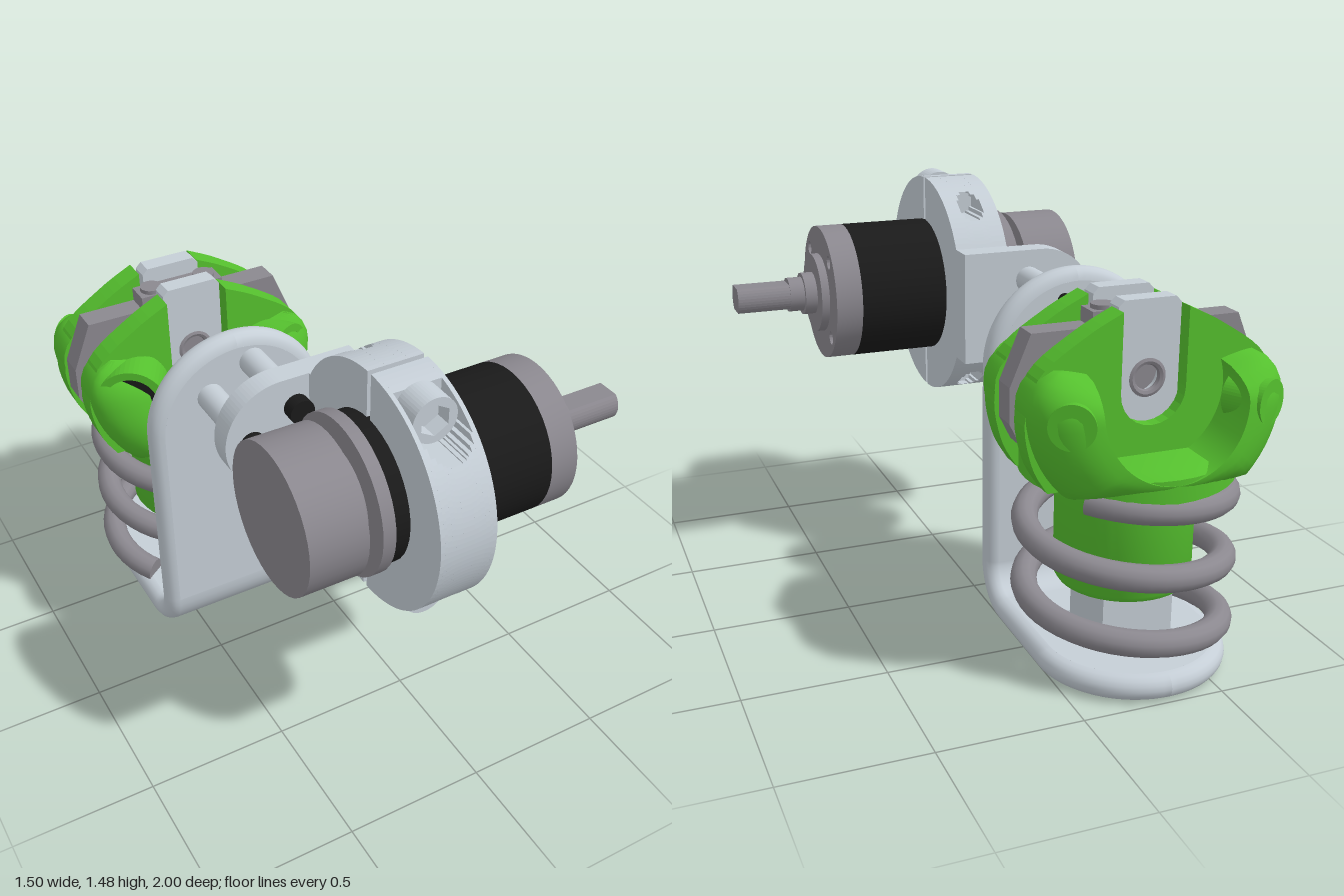
import * as THREE from 'three';
import { toCreasedNormals } from 'three/addons/utils/BufferGeometryUtils.js';

const { PI, sin, cos, sqrt, min, max, abs } = Math;
const mat = (color) => new THREE.MeshStandardMaterial({ color });
const V = (x, y) => new THREE.Vector2(x, y);
const CX = -0.313, CZ = -0.612; // axis of the spring and joint
const MY = 1.065, MZ = 0.58;    // axis of the motor

export function createModel() {
  const root = new THREE.Group();
  const light = mat(0xc5ced6), grey = mat(0x8b888f), black = mat(0x1a1a1a), green = mat(0x55c02e);

  const add = (name, geo, m, x = 0, y = 0, z = 0, parent = root) => {
    const mesh = new THREE.Mesh(geo, m);
    mesh.name = name;
    mesh.position.set(x, y, z);
    parent.add(mesh);
    return mesh;
  };
  const group = (name) => {
    const g = new THREE.Group();
    g.name = name;
    root.add(g);
    return g;
  };
  const extrude = (shape, depth) => new THREE.ExtrudeGeometry(shape, { depth, bevelEnabled: false, curveSegments: 24 });
  const circlePath = (x, y, r) => new THREE.Path().absarc(x, y, r, 0, 2 * PI, true);
  const rod = (r, len, seg = 24) => new THREE.CylinderGeometry(r, r, len, seg).rotateX(PI / 2);
  const arc = (r, a, b, n = 16) => Array.from({ length: n + 1 }, (_, i) => {
    const t = a + (b - a) * i / n;
    return V(r * cos(t), r * sin(t));
  });
  // Surface through closed rings; skip(i, j) leaves quads out
  const loft = (rings, skip = () => false) => {
    const n = rings[0].length, index = [];
    for (let i = 0; i < rings.length - 1; i++) for (let j = 0; j < n; j++) {
      if (skip(i, j)) continue;
      const a = i * n + j, b = i * n + (j + 1) % n;
      index.push(a, b, a + n, b, b + n, a + n);
    }
    const g = new THREE.BufferGeometry();
    g.setAttribute('position', new THREE.Float32BufferAttribute(rings.flat(2), 3));
    g.setIndex(index);
    g.computeVertexNormals();
    return g;
  };

  // Bent bracket: rounded rim and bend as one loft, flat panels as extrusions
  const bracket = group('bracket');
  const R = 0.337, H = 0.045, topY = 0.933, endZ = -0.663, bendY = 0.19, bendZ = -0.305, N = 8;
  const ring = (f) => [1, -1].flatMap((s) => Array.from({ length: N + 1 }, (_, j) => {
    const b = s * (-PI / 2 + PI * j / N), v = H * sin(b);
    const [x, y, z] = f(R - H * (1 - cos(b)), v);
    return [CX + s * x, y, z];
  }));
  const rings = [], K = 20, B = 10;
  for (let i = 0; i <= K; i++) {
    const t = PI / 2 * i / K;
    rings.push(ring((r, v) => [r * sin(t), topY + r * cos(t), -0.16 + v]));
  }
  for (let i = 0; i <= B; i++) {
    const t = PI / 2 * i / B;
    rings.push(ring((r, v) => [r, bendY - (0.145 + v) * sin(t), bendZ + (0.145 + v) * cos(t)]));
  }
  for (let i = K; i >= 0; i--) {
    const t = PI / 2 * i / K;
    rings.push(ring((r, v) => [r * sin(t), H - v, endZ - r * cos(t)]));
  }
  const flat = (i, j) => j % (N + 1) === N && (i <= K || i > K + B);
  add('bracketRim', loft(rings, flat), light, 0, 0, 0, bracket);
  const panel = (len) => {
    const r = R - H, s = new THREE.Shape();
    s.moveTo(-r, -len).lineTo(r, -len).absarc(0, 0, r, 0, PI, false);
    return s;
  };
  add('uprightPanel', extrude(panel(topY - bendY), 2 * H), light, CX, topY, -0.16 - H, bracket);
  const base = panel(bendZ - endZ), hy = CZ - endZ;
  const sq = 0.075;
  base.holes.push(new THREE.Path([V(-sq, -hy - sq), V(-sq, -hy + sq), V(sq, -hy + sq), V(sq, -hy - sq)]));
  for (const a of [-1, 1]) for (const b of [-1, 1]) base.holes.push(circlePath(a * 0.125, -hy + b * 0.125, 0.022));
  add('basePanel', extrude(base, 2 * H).rotateX(-PI / 2), light, CX, 0, endZ, bracket);

  // Square post in the spring, hollow from below
  const post = new THREE.Shape([V(-0.13, -0.13), V(0.13, -0.13), V(0.13, 0.13), V(-0.13, 0.13)]);
  post.holes.push(new THREE.Path([V(-sq, -sq), V(-sq, sq), V(sq, sq), V(sq, -sq)]));
  add('post', extrude(post, 0.22).rotateX(-PI / 2), light, CX, 0.085, CZ);

  // Coil spring
  const coil = new THREE.Curve();
  coil.getPoint = (u, out = new THREE.Vector3()) => {
    const t = -0.1 + 2.48 * u, a = 2 * PI * t;
    return out.set(CX - 0.337 * cos(a), 0.13 + 0.233 * t, CZ - 0.337 * sin(a));
  };
  const spring = group('spring');
  add('coil', new THREE.TubeGeometry(coil, 120, 0.046, 12), grey, 0, 0, 0, spring);
  for (const u of [0, 1]) {
    const cap = add('coilEnd', new THREE.CircleGeometry(0.046, 12), grey, 0, 0, 0, spring);
    const p = coil.getPoint(u), d = coil.getTangent(u).multiplyScalar(u ? 1 : -1);
    cap.position.copy(p);
    cap.lookAt(p.clone().add(d));
  }

  // Green core and skirt
  const lathe = (pts, seg = 40) => toCreasedNormals(new THREE.LatheGeometry(pts.map((p) => V(...p)), seg), 0.6);
  add('springCore', lathe([[0, 0.29], [0.225, 0.29], [0.237, 0.31], [0.237, 0.7], [0, 0.7]]), green, CX, 0, CZ);
  add('skirt', lathe([[0, 0.69], [0.365, 0.69], [0.365, 0.77], [0.33, 0.79], [0, 0.79]]), green, CX, 0, CZ);

  // Joint: a fin and a cupped shell on each side of a cross plate
  const joint = group('joint');
  joint.position.set(CX, 0, CZ);
  const side = new THREE.SplineCurve([V(0.36, 0.7), V(0.415, 0.8), V(0.44, 0.95), V(0.39, 1.09), V(0.24, 1.2), V(0.115, 1.265)]).getPoints(24);
  const notch = arc(0.115, 0, -PI, 12).map((p) => V(p.x, p.y + 1));
  const mirrored = side.map((p) => V(-p.x, p.y)).reverse();
  const fin = new THREE.Shape([...side, ...notch, ...mirrored]);
  const tab = new THREE.Shape([V(-0.11, 0.85), V(0.11, 0.85), V(0.11, 1.27), V(0.09, 1.29), V(-0.09, 1.29), V(-0.11, 1.27)]);
  tab.holes.push(circlePath(0, 1.03, 0.065));

  for (const s of [1, -1]) {
    add('fin', extrude(fin, 0.085), green, 0, 0, s > 0 ? 0.085 : -0.17, joint);
    add('bearingTab', extrude(tab, 0.065), light, 0, 0, s > 0 ? 0.06 : -0.125, joint);
    add('bearing', toCreasedNormals(new THREE.TorusGeometry(0.055, 0.014, 8, 24), 0.5), grey, 0, 1.03, s * 0.115, joint);
    // Cupped shell: rounded section swept around the joint axis
    const sections = [], n = 44, a0 = -202 * PI / 180, a1 = 22 * PI / 180;
    for (let i = 0; i <= n; i++) {
      const a = a0 + (a1 - a0) * i / n;
      const k = sqrt(max(0, 1 - (1 - min(1, min(a - a0, a1 - a) / 0.45)) ** 2));
      const w0 = 0.085, ri = 0.25;
      const ro = ri + (min(0.44, 0.31 / abs(sin(a))) - ri) * k;
      const w1 = w0 + (0.365 - (s > 0 ? 0.1 : 0.03) * (1 + sin(a)) - w0) * k;
      const wm = min(w1, 0.18);
      const sec = [[ri, w0]];
      for (let j = 0; j <= 8; j++) {
        const t = PI / 2 * j / 8;
        sec.push([ri + (ro - ri) * sin(t), wm + (w1 - wm) * cos(t)]);
      }
      sec.push([ro, w0]);
      sections.push(sec.map(([r, w]) => [r * cos(a), 1 + r * sin(a), s * w]));
    }
    if (s < 0) sections.reverse();
    add('shell', toCreasedNormals(loft(sections), 0.7), green, 0, 0, 0, joint);
    // Angled bosses with a socket
    for (const m of [1, -1]) {
      const boss = new THREE.Group();
      boss.name = 'boss';
      boss.position.set(m * 0.31, 0.965, s * 0.245);
      boss.rotation.y = s > 0 ? m * 0.5 : PI - m * 0.5;
      joint.add(boss);
      const r = s > 0 ? 0.125 : 0.075, hole = s > 0 ? 0.095 : 0.032, out = s > 0 ? 0.015 : 0.075;
      const tube = new THREE.Shape().absarc(0, 0, r, 0, 2 * PI, false);
      tube.holes.push(circlePath(0, 0, hole));
      add('bossRing', extrude(tube, 0.14), green, 0, 0, out - 0.14, boss);
      add('socket', rod(hole, 0.1), s > 0 ? black : green, 0, 0, out - 0.07, boss);
    }
  }
  const cross = new THREE.Shape([V(-0.4, 0.82), V(0.4, 0.82), V(0.44, 0.9), V(0.44, 1.02), V(0.37, 1.19), V(0.16, 1.19),
    V(0.16, 1.24), V(-0.16, 1.24), V(-0.16, 1.19), V(-0.37, 1.19), V(-0.44, 1.02), V(-0.44, 0.9)]);
  add('crossPlate', extrude(cross, 0.09), grey, 0, 0, -0.045, joint);
  for (const m of [1, -1]) add('crossScrew', new THREE.CylinderGeometry(0.04, 0.04, 0.02, 20), grey, m * 0.105, 1.245, 0, joint);

  // Standoffs and screws between bracket and clamp
  const standoffs = group('standoffs');
  for (const a of [PI / 3, PI, -PI / 3]) {
    const x = -0.315 + 0.11 * cos(a), y = MY + 0.11 * sin(a);
    add('standoff', rod(0.049, 0.25), light, x, y, 0, standoffs);
    add('screwHead', rod(0.045, 0.05), black, x, y, 0.228, standoffs);
    add('screwTip', rod(0.025, 0.02), black, x, y, -0.212, standoffs);
  }

  // Clamp: mounting flange, and a split ring built in slabs so the bolt pockets are round
  const clamp = group('clamp');
  const flange = new THREE.Shape();
  flange.moveTo(-0.01, -0.207).lineTo(-0.01, 0.207).lineTo(-0.315, 0.207).absarc(-0.315, 0, 0.207, PI / 2, 1.5 * PI, false);
  add('flange', extrude(flange, 0.085), light, 0, MY, 0.12, clamp);
  const RO = 0.42, RI = 0.254, BY = 0.34;
  const onRing = (p) => sqrt(RO * RO - p * p);
  const half = (upper) => [...upper, ...upper.map((p) => V(p.x, -p.y)).reverse()];
  const slab = (name, pts, x0, x1) =>
    add(name, extrude(new THREE.Shape(pts), x1 - x0).rotateY(-PI / 2), light, x1, MY, MZ, clamp);
  const inner = arc(RI, PI / 2 - 0.04, 0, 16);
  const cuts = [-0.1, -0.085, -0.075, -0.06, -0.045, -0.035, -0.02, 0, 0.02, 0.035, 0.045, 0.06, 0.075, 0.085, 0.1];
  for (let i = 0; i < cuts.length - 1; i++) {
    const dx = (cuts[i] + cuts[i + 1]) / 2, x0 = -0.11 + cuts[i], x1 = -0.11 + cuts[i + 1];
    const h = sqrt(max(0, 0.085 ** 2 - dx * dx)), h2 = sqrt(max(0, 0.045 ** 2 - dx * dx));
    const ang = (q) => Math.asin(q / RO);
    // Front half, with a pocket for the bolt head
    let top = arc(RO, 0, PI / 2 - 0.024, 24);
    if (h) top = [...arc(RO, 0, ang(BY - h)), V(0.11, BY - h), V(0.11, onRing(0.11)), ...arc(RO, Math.acos(0.11 / RO) + 0.01, PI / 2 - 0.024, 4)];
    slab('clampFront', half([...inner.slice().reverse(), ...top.slice().reverse()]), x0, x1);
    // Back half, with the neck to the flange and the bolt hole
    let back = arc(RO, PI - ang(0.207), PI / 2 + 0.024, 20);
    if (h2) back = [...arc(RO, PI - ang(0.207), PI - ang(BY - h2), 8), V(-0.13, BY - h2), V(-0.13, BY + h2), ...arc(RO, PI - ang(BY + h2), PI / 2 + 0.024, 8)];
    const rear = [...inner.map((p) => V(-p.x, p.y)).reverse(), ...back.reverse(), V(-0.42, 0.207)];
    slab('clampBack', half(rear), x0, x1);
  }
  for (const s of [1, -1]) {
    const head = new THREE.Shape().absarc(0, 0, 0.079, 0, 2 * PI, false);
    head.holes.push(new THREE.Path(arc(0.055, PI / 6, PI / 6 - 2 * PI, 6)));
    add('boltHead', extrude(head, 0.1), light, -0.11, MY + s * BY, 0.69, clamp);
    add('boltSocketFloor', rod(0.07, 0.04), light, -0.11, MY + s * BY, 0.715, clamp);
  }

  // Motor, turned along x
  const motor = group('motor');
  motor.position.set(0, MY, MZ);
  const turned = (name, x0, x1, r, m) =>
    add(name, new THREE.CylinderGeometry(r, r, x1 - x0, 40).rotateZ(PI / 2), m, (x0 + x1) / 2, 0, 0, motor);
  turned('rearHousing', -0.555, -0.352, 0.255, grey);
  turned('neck', -0.355, -0.31, 0.185, grey);
  turned('collar', -0.315, -0.27, 0.272, grey);
  turned('barrel', -0.272, 0.32, 0.255, black);
  turned('pilot', 0.4, 0.45, 0.15, grey);
  turned('hub', 0.45, 0.495, 0.08, grey);
  turned('shaftRoot', 0.49, 0.55, 0.065, grey);
  const face = new THREE.Shape().absarc(0, 0, 0.255, 0, 2 * PI, false);
  for (let i = 0; i < 4; i++) {
    const a = PI / 4 + i * PI / 2;
    face.holes.push(circlePath(0.207 * cos(a), 0.207 * sin(a), 0.025));
  }
  add('gearboxFace', toCreasedNormals(extrude(face, 0.1).rotateY(-PI / 2), 0.5), grey, 0.42, 0, 0, motor);
  // Shaft with two flats
  const f = Math.asin(0.047 / 0.062);
  const shaft = new THREE.Shape([...arc(0.062, -f, f, 10), ...arc(0.062, PI - f, PI + f, 10)]);
  add('shaft', extrude(shaft, 0.21).rotateY(-PI / 2), grey, 0.75, 0, 0, motor);

  return root;
}
